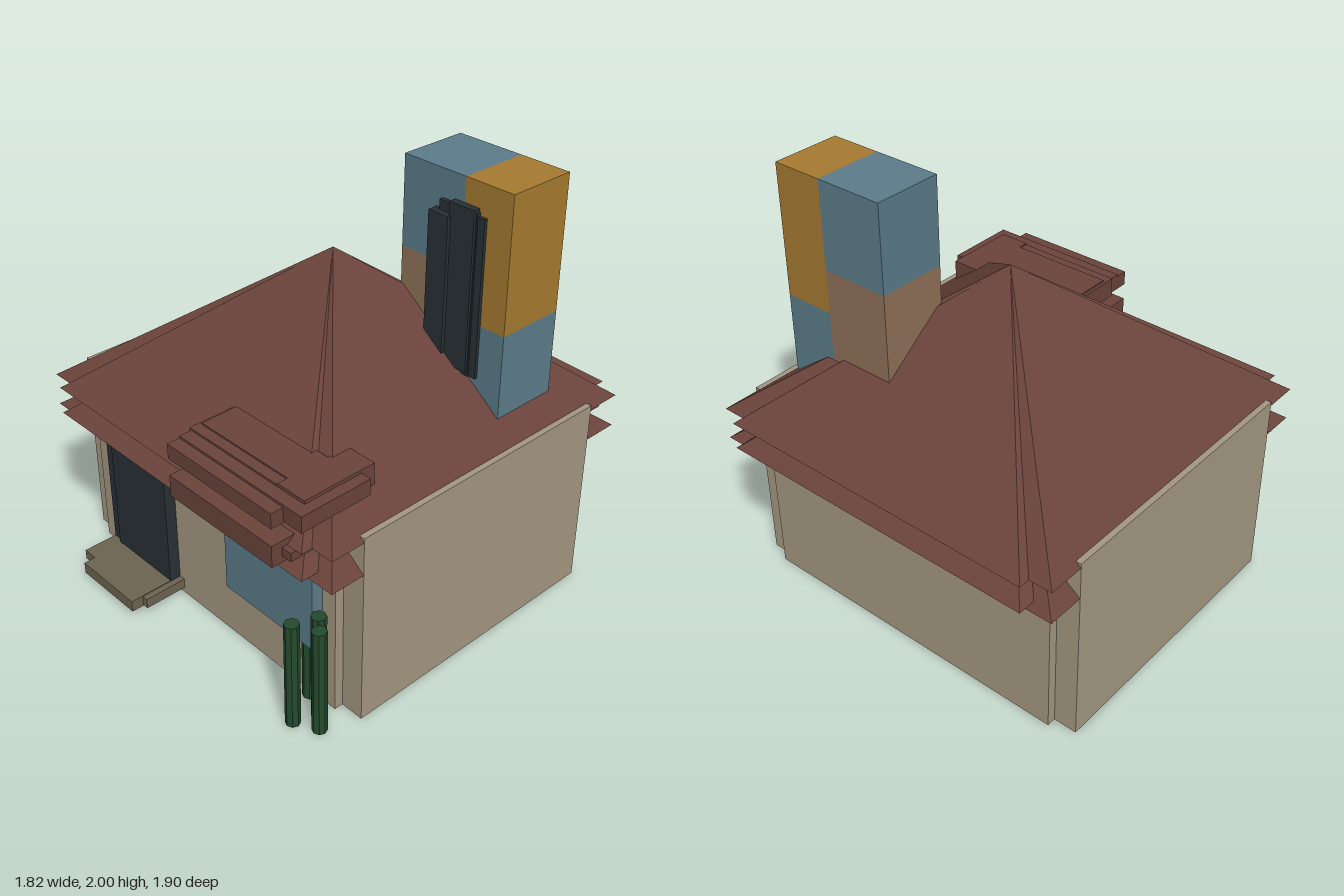
import * as THREE from 'three';

const mat = (color) => new THREE.MeshStandardMaterial({ color, flatShading: true });

export function createModel() {
  const house = new THREE.Group();
  house.name = 'house';
  const wall = mat(0xa39780), roof = mat(0x6a433b), dark = mat(0x283034), blue = mat(0x5b7b89);
  const gold = mat(0xa57a30), clay = mat(0x8f7058), green = mat(0x24492d), stone = mat(0x6c6450);

  const group = (name) => {
    const g = new THREE.Group();
    g.name = name;
    house.add(g);
    return g;
  };
  const add = (parent, name, geometry, material) => {
    const mesh = new THREE.Mesh(geometry, material);
    mesh.name = name;
    parent.add(mesh);
    return mesh;
  };
  // Box given by its limits on each axis
  const box = (parent, name, material, [x0, x1], [y0, y1], [z0, z1]) => {
    const g = new THREE.BoxGeometry(x1 - x0, y1 - y0, z1 - z0);
    g.translate((x0 + x1) / 2, (y0 + y1) / 2, (z0 + z1) / 2);
    return add(parent, name, g, material);
  };

  // Walls: two crossing blocks that leave notched corners
  const walls = group('walls');
  box(walls, 'wideWallBlock', wall, [-0.91, 0.91], [0, 0.92], [-0.727, 0.637]);
  box(walls, 'deepWallBlock', wall, [-0.8, 0.8], [0.002, 0.88], [-0.77, 0.68]);

  // Roof: two tiers of overlapping pyramids; [half width, half depth, eave heights]
  const roofs = group('roof');
  const layers = [
    [0.91, 0.8525, 0.9, 0.745],
    [0.8, 0.905, 0.9, 0.77],
    [0.855, 0.83, 0.882, 0.725],
  ];
  for (const [hx, hz, upper, lower] of layers) {
    [[upper, 1.578, 'upperRoof'], [lower, 1.42, 'lowerRoof']].forEach(([y0, top, name]) => {
      const g = new THREE.ConeGeometry(Math.SQRT2, 1, 4);
      g.rotateY(Math.PI / 4);
      g.scale(hx, top - y0, hz);
      g.translate(0, (top + y0) / 2, -0.05);
      add(roofs, name, g, roof);
    });
  }

  // Stacked slabs above the window
  const slabs = group('awning');
  const slabLimits = [
    [[0.1, 0.72], [1.01, 1.08], [0.58, 0.93]],
    [[0.1, 0.82], [1.015, 1.09], [0.52, 0.87]],
    [[0.09, 0.77], [1.0, 1.098], [0.56, 0.81]],
    [[0.62, 0.77], [0.99, 1.105], [0.45, 0.81]],
    [[0.105, 0.67], [0.99, 1.105], [0.555, 0.76]],
    [[0.1, 0.72], [0.83, 0.93], [0.6, 0.93]],
    [[0.1, 0.77], [0.86, 0.9], [0.55, 0.88]],
  ];
  for (const limits of slabLimits) box(slabs, 'awningSlab', roof, ...limits);

  // Chimney in coloured blocks
  const chimney = group('chimney');
  const cz = [-0.585, -0.255];
  box(chimney, 'chimneyTopBlue', blue, [0.205, 0.535], [1.59, 2], cz);
  box(chimney, 'chimneyLowerClay', clay, [0.205, 0.535], [0.99, 1.59], cz);
  box(chimney, 'chimneyTopGold', gold, [0.535, 0.78], [1.385, 2], cz);
  box(chimney, 'chimneyLowerBlue', blue, [0.535, 0.78], [0.99, 1.385], cz);

  // Dark panels on the chimney front
  const panels = group('chimneyPanels');
  const panelLimits = [
    [[0.39, 0.495], [1.165, 1.83], [-0.27, -0.205]],
    [[0.42, 0.62], [1.14, 1.875], [-0.27, -0.235]],
    [[0.485, 0.615], [1.16, 1.89], [-0.27, -0.222]],
    [[0.6, 0.655], [1.14, 1.86], [-0.27, -0.24]],
  ];
  for (const limits of panelLimits) box(panels, 'chimneyPanel', dark, ...limits);

  // Door, window and doorstep
  const door = group('door');
  box(door, 'doorLeaf', dark, [-0.68, -0.26], [0.01, 0.655], [0.62, 0.72]);
  box(door, 'doorFrame', dark, [-0.62, -0.23], [0.01, 0.65], [0.62, 0.735]);
  box(house, 'window', blue, [0.185, 0.725], [0.305, 0.74], [0.6, 0.735]);
  const step = group('doorstep');
  box(step, 'backStep', stone, [-0.68, -0.2], [0.03, 0.078], [0.65, 0.89]);
  box(step, 'frontStep', stone, [-0.6, -0.23], [0.026, 0.082], [0.65, 0.95]);

  // Tall slim shrubs beside the window
  const shrubs = group('shrubs');
  [[0.665, 0.695], [0.735, 0.852], [0.78, 0.75], [0.838, 0.8]].forEach(([x, z], i) => {
    const h = 0.53 - (i % 2) * 0.008;
    const g = new THREE.CylinderGeometry(0.033, 0.033, h, 8);
    g.translate(x, h / 2, z);
    add(shrubs, 'shrub', g, green);
  });

  return house;
}
